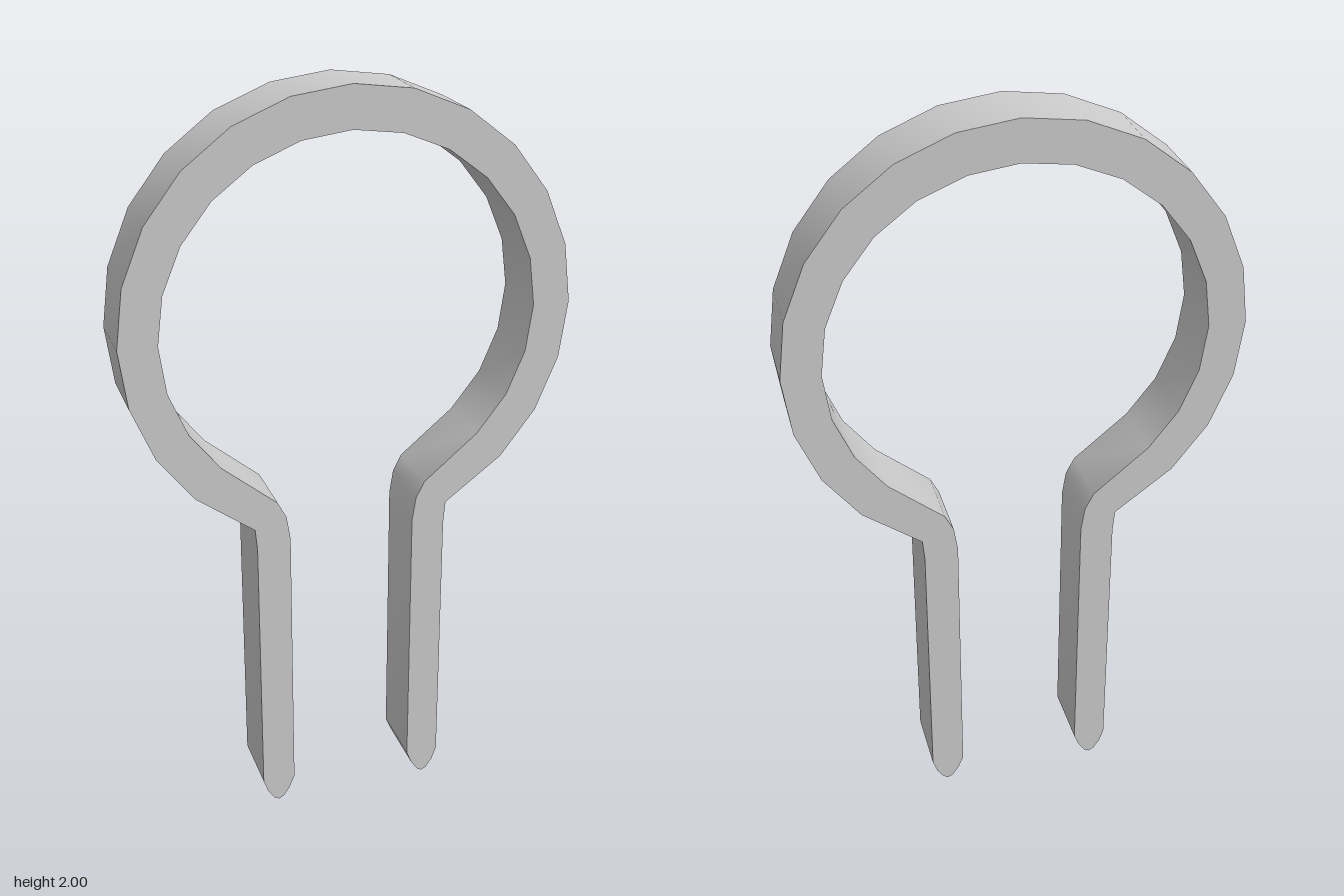
import * as THREE from 'three';
import { toCreasedNormals } from 'three/addons/utils/BufferGeometryUtils.js';

const CENTRE_Y = 1.405, DEPTH = 0.18, STEP = Math.PI / 12;

// Points of a 24-sided ring, from the top down to where the leg begins
function ringPoints(rx, ry) {
  return Array.from({ length: 10 }, (_, i) =>
    [rx * Math.sin(i * STEP), CENTRE_Y + ry * Math.cos(i * STEP)]);
}

export function createModel() {
  const group = new THREE.Group();
  group.name = 'springClip';

  // Outer edge, from the top of the ring down to the tip of the leg
  const outer = [
    ...ringPoints(0.593, 0.595),
    [0.265, 0.87], [0.26, 0.81], [0.26, 0.07], [0.248, 0.035], [0.23, 0.008], [0.216, 0],
  ];
  // Inner edge, from the leg tip back up to the top of the ring
  const inner = [
    [0.202, 0.008], [0.184, 0.035], [0.17, 0.07], [0.17, 0.83], [0.18, 0.895], [0.203, 0.94],
    ...ringPoints(0.493, 0.487).reverse(),
  ];

  // Mirror both edges to close the clip outline
  const mirror = (points) => points.map(([x, y]) => [-x, y]).reverse();
  const outline = [
    ...outer, ...inner,
    ...mirror(inner).slice(1), ...mirror(outer).slice(0, -1),
  ].map(([x, y]) => new THREE.Vector2(x, y));

  // Flat strip of constant depth, smooth along the bend, sharp at the rims
  const geometry = new THREE.ExtrudeGeometry(new THREE.Shape(outline), {
    depth: DEPTH, bevelEnabled: false,
  });
  geometry.translate(0, 0, -DEPTH / 2);

  const clip = new THREE.Mesh(
    toCreasedNormals(geometry, THREE.MathUtils.degToRad(42)),
    new THREE.MeshStandardMaterial({ color: 0xcccccc }),
  );
  clip.name = 'ringAndLegs';
  group.add(clip);
  return group;
}
